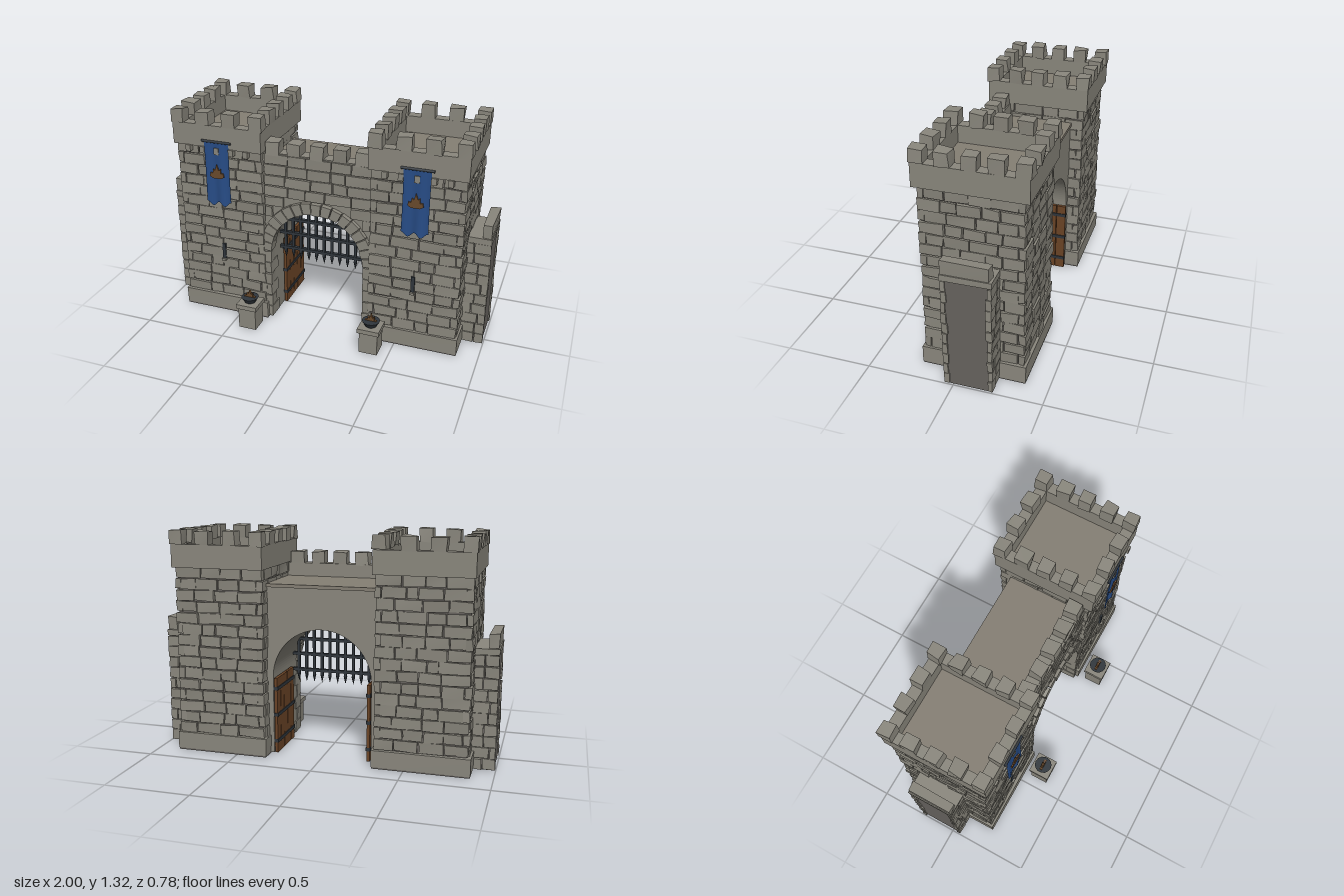
import * as THREE from 'three';
import { mergeGeometries } from 'three/addons/utils/BufferGeometryUtils.js';

const mat = (name, color, side = THREE.FrontSide) => {
  const m = new THREE.MeshStandardMaterial({ color, side });
  m.name = name;
  return m;
};

let seed = 7;
const rnd = () => (seed = (seed * 16807) % 2147483647) / 2147483647;

// box given by its centre; corners can be nudged to look hand cut
function block(w, h, d, x, y, z, jit = 0) {
  const g = new THREE.BoxGeometry(w, h, d), p = g.attributes.position;
  const nudge = Array.from({ length: 24 }, () => (rnd() - 0.5) * 2 * jit);
  for (let i = 0; i < p.count; i++) {
    const k = 3 * ((p.getX(i) > 0 ? 1 : 0) + (p.getY(i) > 0 ? 2 : 0) + (p.getZ(i) > 0 ? 4 : 0));
    p.setXYZ(i, p.getX(i) + nudge[k] + x, p.getY(i) + nudge[k + 1] + y, p.getZ(i) + nudge[k + 2] + z);
  }
  g.computeVertexNormals();
  return g;
}
// box given by its limits
const span = (x0, x1, y0, y1, z0, z1, jit) => block(Math.abs(x1 - x0), y1 - y0, z1 - z0, (x0 + x1) / 2, (y0 + y1) / 2, (z0 + z1) / 2, jit);

// splits a run of masonry into stones of uneven length
function course(a, b) {
  const n = Math.max(1, Math.round((b - a) / 0.125)), cuts = [a];
  for (let i = 1; i < n; i++) cuts.push(a + (b - a) * (i + (rnd() - 0.5) * 0.5) / n);
  cuts.push(b);
  return cuts.slice(1).map((c, i) => [cuts[i] + 0.003, c - 0.003]);
}

// flame over a shallow dish, used by the banner and the braziers
function flameShape() {
  const pts = [[-0.045, 0], [-0.04, 0.022], [-0.026, 0.02], [-0.022, 0.045], [-0.01, 0.038], [0, 0.075],
    [0.012, 0.04], [0.024, 0.048], [0.026, 0.02], [0.04, 0.022], [0.045, 0], [0.025, -0.012], [-0.025, -0.012]];
  return new THREE.Shape(pts.map(([x, y]) => new THREE.Vector2(x, y)));
}

export function createModel() {
  seed = 7;
  const stone = mat('stone', 0x8a877d), mortar = mat('mortar', 0x67635f), floor = mat('floorStone', 0x857f74);
  const iron = mat('iron', 0x30363c), wood = mat('wood', 0x6b4426), bronze = mat('bronze', 0x6a4a2c);
  const cloth = mat('blueCloth', 0x274c86, THREE.DoubleSide);
  const root = new THREE.Group();
  root.name = 'gatehouse';
  const add = (name, geo, m, parent = root) => {
    const mesh = new THREE.Mesh(Array.isArray(geo) ? mergeGeometries(geo) : geo, m);
    mesh.name = name;
    parent.add(mesh);
    return mesh;
  };
  const extrude = (shape, depth) => new THREE.ExtrudeGeometry(shape, { depth, bevelEnabled: false, curveSegments: 28 });

  const CZ = -0.072, CX = 0.595, HX = 0.268, HZ = 0.285;

  function tower(s) {
    const g = new THREE.Group(), cx = s * CX;
    g.name = s > 0 ? 'leftTower' : 'rightTower';
    root.add(g);
    add('towerCore', block(2 * HX - 0.026, 1.1, 2 * HZ - 0.026, cx, 0.555, CZ), mortar, g);
    add('plinth', block(0.56, 0.1, 0.595, cx, 0.06, CZ, 0.002), stone, g);
    add('plinthUnderside', block(0.555, 0.01, 0.59, cx, 0.005, CZ), mortar, g);

    // stone courses on four sides, the corner stones alternating
    const bricks = [], rows = 15, rh = 1.0 / rows, t = 0.035;
    for (let r = 0; r < rows; r++) {
      const y0 = 0.11 + r * rh + 0.003, y1 = 0.11 + (r + 1) * rh - 0.003;
      for (const f of [-1, 1]) {
        const inX = r % 2 ? t : 0, inZ = r % 2 ? 0 : t;
        for (const [a, b] of course(-HX + inX, HX - inX)) {
          const o = (rnd() - 0.5) * 0.008;
          bricks.push(block(b - a, y1 - y0, t, cx + (a + b) / 2, (y0 + y1) / 2, CZ + f * (HZ - t / 2 + o), 0.004));
        }
        for (const [a, b] of course(-HZ + inZ, HZ - inZ)) {
          const o = (rnd() - 0.5) * 0.008;
          bricks.push(block(t, y1 - y0, b - a, cx + f * (HX - t / 2 + o), (y0 + y1) / 2, CZ + (a + b) / 2, 0.004));
        }
      }
    }
    add('towerStones', bricks, stone, g);

    // parapet, floor and merlons
    const W = 0.278, D = 0.309, w = 0.065, top = [];
    for (const f of [-1, 1]) {
      top.push(block(2 * W, 0.135, w, cx, 1.1725, CZ + f * (D - w / 2)));
      top.push(block(w, 0.135, 2 * (D - w), cx + f * (W - w / 2), 1.1725, CZ));
    }
    add('parapet', top, stone, g);
    add('towerFloor', span(cx - W + 0.01, cx + W - 0.01, 1.106, 1.14, CZ - D + 0.01, CZ + D - 0.01), floor, g);
    const merlons = [];
    for (let i = 0; i < 4; i++) for (let j = 0; j < 5; j++) {
      if (i % 3 && j % 4) continue;
      const wx = i % 3 ? 0.082 : 0.078, wz = j % 4 ? 0.08 : 0.074;
      merlons.push(block(wx, 0.08, wz, cx + (i - 1.5) * 0.162, 1.278, CZ + (j - 2) * 0.1385, 0.006));
    }
    add('merlons', merlons, stone, g);
    add('corbels', [-2, -1, 0, 1, 2].map(i => block(0.03, 0.04, 0.05, cx + i * 0.091, 1.088, 0.223)), stone, g);

    // arrow slit
    add('arrowSlit', block(0.022, 0.1, 0.012, cx, 0.425, 0.217), iron, g);
    add('slitSill', block(0.026, 0.014, 0.03, cx, 0.37, 0.22), stone, g);

    // hanging banner
    const bg = new THREE.PlaneGeometry(0.155, 0.39, 16, 8), p = bg.attributes.position;
    for (let i = 0; i < p.count; i++) {
      const x = p.getX(i), v = 0.5 - p.getY(i) / 0.39;
      const y = p.getY(i) + v * v * 0.014 * Math.cos(x * 85);
      p.setXYZ(i, x * (1 - 0.1 * v * (1 - v)), y, 0.004 * v + 0.005 * Math.sin(x * 75) * (0.3 + v * 0.7));
    }
    bg.computeVertexNormals();
    add('banner', bg, cloth, g).position.set(cx, 0.95, 0.241);
    const rod = new THREE.CylinderGeometry(0.008, 0.008, 0.185, 8).rotateZ(Math.PI / 2);
    add('bannerRod', rod, iron, g).position.set(cx, 1.145, 0.242);
    add('bannerFlame', extrude(flameShape(), 0.009), bronze, g).position.set(cx, 0.935, 0.247);

    // stub of the side wall, cut off at its outer end
    const w0 = s * 0.84;
    add('sideWallCore', span(w0, s * 0.988, 0, 0.668, -0.205, 0.035), mortar, g);
    const side = [];
    for (let r = 0; r < 10; r++) {
      const y0 = 0.006 + r * 0.0662, y1 = y0 + 0.061, cut = 0.9 + rnd() * 0.06;
      for (const [z0, z1] of [[0.02 + rnd() * 0.012, 0.053], [-0.222, -0.189 - rnd() * 0.012]]) {
        side.push(span(w0, s * (cut - 0.003), y0, y1, z0, z1, 0.003));
        side.push(span(s * (cut + 0.003), s * 0.996, y0, y1, z0, z1, 0.003));
      }
    }
    side.push(span(w0, s * 0.998, 0.667, 0.702, -0.225, 0.057, 0.002));
    side.push(span(s * 0.938, s * 0.995, 0.702, 0.782, -0.213, 0.05, 0.004));
    add('sideWallStones', side, stone, g);
  }

  // gate wall with an arched passage
  const R = 0.295, RO = 0.36, AY = 0.47;
  const wall = new THREE.Shape();
  wall.moveTo(-0.34, 0.005);
  wall.lineTo(-R, 0.005);
  wall.lineTo(-R, AY);
  wall.absarc(0, AY, R, Math.PI, 0, true);
  wall.lineTo(R, 0.005);
  wall.lineTo(0.34, 0.005);
  wall.lineTo(0.34, 1.0);
  wall.lineTo(-0.34, 1.0);
  wall.closePath();
  add('gateWall', extrude(wall, 0.455), stone).position.z = -0.28;
  add('walkway', span(-0.33, 0.33, 1.0, 1.02, -0.288, 0.11), floor);
  add('gateParapet', span(-0.33, 0.33, 0.99, 1.1, 0.1, 0.178), stone);

  // facing stones, laid around the arch
  const facing = [];
  for (let r = 0; r < 6; r++) {
    const y0 = 0.7 + r * 0.0665, y1 = y0 + 0.061, k = RO * RO - (y0 - AY) ** 2;
    const inner = k > 0 ? Math.sqrt(k) : 0;
    const runs = inner ? [[-0.325, -inner], [inner, 0.325]] : [[-0.325, 0.325]];
    for (const [a, b] of runs) for (const [x0, x1] of course(a, b))
      facing.push(span(x0, x1, y0, y1, 0.16, 0.188 + rnd() * 0.004, 0.003));
  }
  add('gateFacing', facing, stone);
  add('gateMerlons', [-2, -1, 0, 1, 2].map(i => block(0.08, 0.08, 0.085, i * 0.135, 1.13, 0.145, 0.006)), stone);

  // arch stones and jamb stones
  const arch = [], N = 17;
  for (let i = 0; i < N; i++) {
    const a = Math.PI * i / N + 0.008, b = Math.PI * (i + 1) / N - 0.008, v = new THREE.Shape();
    const ri = R - 0.006 - rnd() * 0.006, ro = RO - rnd() * 0.008;
    v.moveTo(ri * Math.cos(a), ri * Math.sin(a));
    v.lineTo(ro * Math.cos(a), ro * Math.sin(a));
    v.lineTo(ro * Math.cos(b), ro * Math.sin(b));
    v.lineTo(ri * Math.cos(b), ri * Math.sin(b));
    v.closePath();
    arch.push(extrude(v, 0.07).translate(0, AY, 0.133 + rnd() * 0.006));
  }
  add('archStones', arch, stone);
  const jambs = [];
  for (const s of [-1, 1]) for (let i = 0; i < 6; i++)
    jambs.push(span(s * 0.29, s * 0.338, 0.008 + i * 0.077, 0.08 + i * 0.077, i % 2 ? 0.14 : 0.1, 0.204, 0.003));
  add('jambStones', jambs, stone);

  // portcullis
  const grid = [];
  for (let i = -5; i <= 5; i++) {
    const x = i * 0.05, top = AY + Math.sqrt(R * R - x * x), low = 0.41;
    grid.push(block(0.016, top - low, 0.016, x, (top + low) / 2, 0.06));
    grid.push(new THREE.ConeGeometry(0.012, 0.05, 4).rotateX(Math.PI).translate(x, low - 0.022, 0.06));
  }
  for (const y of [0.44, 0.54, 0.635]) {
    const h = y > AY ? Math.sqrt(R * R - (y - AY) ** 2) : 0.285;
    grid.push(block(2 * h, 0.018, 0.022, 0, y, 0.06));
  }
  add('portcullis', grid, iron);

  for (const s of [-1, 1]) {
    tower(s);
    // open door leaf against the passage wall
    const planks = [];
    for (let i = 0; i < 5; i++) planks.push(block(0.018, 0.455, 0.056, s * 0.28, 0.235, -0.255 + i * 0.06));
    add('doorPlanks', planks, wood);
    add('doorStraps', [0.08, 0.24, 0.4].map(y => block(0.026, 0.02, 0.3, s * 0.279, y, -0.135)), iron);

    // brazier on a pedestal
    const b = new THREE.Group();
    b.name = 'brazier';
    b.position.set(s * 0.385, 0, 0.325);
    root.add(b);
    add('pedestal', [block(0.11, 0.14, 0.11, 0, 0.075, 0), block(0.13, 0.028, 0.13, 0, 0.154, 0, 0.001)], stone, b);
    add('bowl', new THREE.CylinderGeometry(0.053, 0.033, 0.034, 14), iron, b).position.y = 0.185;
    add('flame', extrude(flameShape(), 0.016).scale(0.85, 0.8, 1), bronze, b).position.set(0, 0.19, -0.008);
  }
  return root;
}
